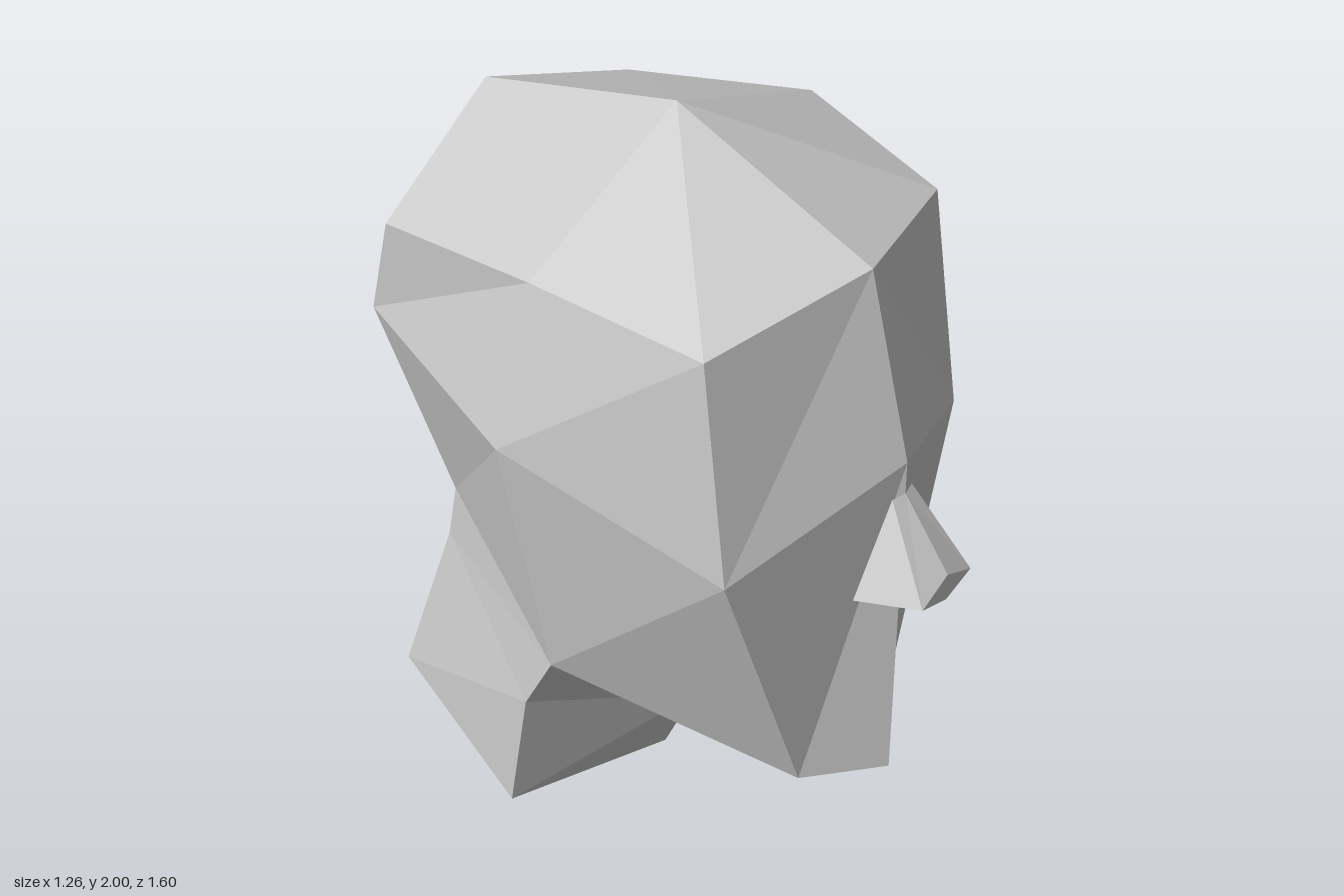
import * as THREE from 'three';

const clay = new THREE.MeshStandardMaterial({ color: 0xcccccc });
clay.name = 'clayGrey';
clay.flatShading = true;
clay.side = THREE.DoubleSide;

// Builds a flat-faced mesh from polygons on the +x half, mirrored to -x
function mirroredMesh(name, faces) {
  const pos = [];
  const flip = ([x, y, z]) => [-x, y, z];
  for (const f of faces) {
    for (let i = 1; i < f.length - 1; i++) {
      const [a, b, c] = [f[0], f[i], f[i + 1]];
      pos.push(...a, ...b, ...c, ...flip(a), ...flip(c), ...flip(b));
    }
  }
  const geo = new THREE.BufferGeometry();
  geo.setAttribute('position', new THREE.Float32BufferAttribute(pos, 3));
  geo.computeVertexNormals();
  const mesh = new THREE.Mesh(geo, clay);
  mesh.name = name;
  return mesh;
}

// Quads between successive rows; rows run from front centre round to back centre
function loft(rows) {
  const faces = [];
  for (let r = 0; r < rows.length - 1; r++) {
    for (let i = 0; i < rows[r].length - 1; i++) {
      faces.push([rows[r][i], rows[r + 1][i], rows[r + 1][i + 1], rows[r][i + 1]]);
    }
  }
  return faces;
}

export function createModel() {
  const group = new THREE.Group();
  group.name = 'head';

  // Rings of the skull, top to bottom
  const top = [0, 2, -0.01];
  const crown = [[0, 1.77, 0.55], [0.45, 1.705, 0.42], [0.53, 1.78, -0.01], [0.45, 1.69, -0.52], [0, 1.85, -0.595]];
  const brow = [[0, 1.28, 0.67], [0.465, 1.11, 0.495], [0.63, 1.36, -0.04], [0.41, 1.39, -0.62], [0, 1.38, -0.8]];
  const jaw = [[0, 0.32, 0.665], [0.185, 0.33, 0.52], [0.51, 0.645, 0], [0.29, 0.82, -0.495], [0, 0.67, -0.56]];
  const throat = [0, 0.34, 0.12];

  group.add(mirroredMesh('skull', [
    [top, crown[0], crown[1], crown[2]],
    [top, crown[2], crown[3], crown[4]],
    ...loft([crown, brow, jaw]),
  ]));

  // Underside of the jaw
  group.add(mirroredMesh('jawUnderside', [[jaw[0], throat, jaw[2], jaw[1]]]));

  // Neck, open at the bottom
  group.add(mirroredMesh('neck', loft([
    [throat, jaw[2], jaw[3], jaw[4]],
    [[0, 0.22, 0.05], [0.485, 0.445, -0.11], [0.285, 0.655, -0.53], [0, 0.54, -0.605]],
    [[0, 0, -0.05], [0.465, 0.05, -0.19], [0.305, 0.16, -0.69], [0, 0.17, -0.735]],
  ])));

  // Nose: bridge, tip, nostril wing and base
  const bridge = [0, 1.19, 0.67], bridgeSide = [0.04, 1.19, 0.66];
  const tip = [0, 1.01, 0.8], tipSide = [0.1, 0.965, 0.8], tipLow = [0, 0.935, 0.8];
  const wing = [0.155, 0.95, 0.64], base = [0, 0.885, 0.645];
  group.add(mirroredMesh('nose', [
    [bridge, tip, tipSide, bridgeSide],
    [tip, tipLow, tipSide],
    [bridgeSide, tipSide, wing],
    [tipLow, base, wing, tipSide],
  ]));

  return group;
}
